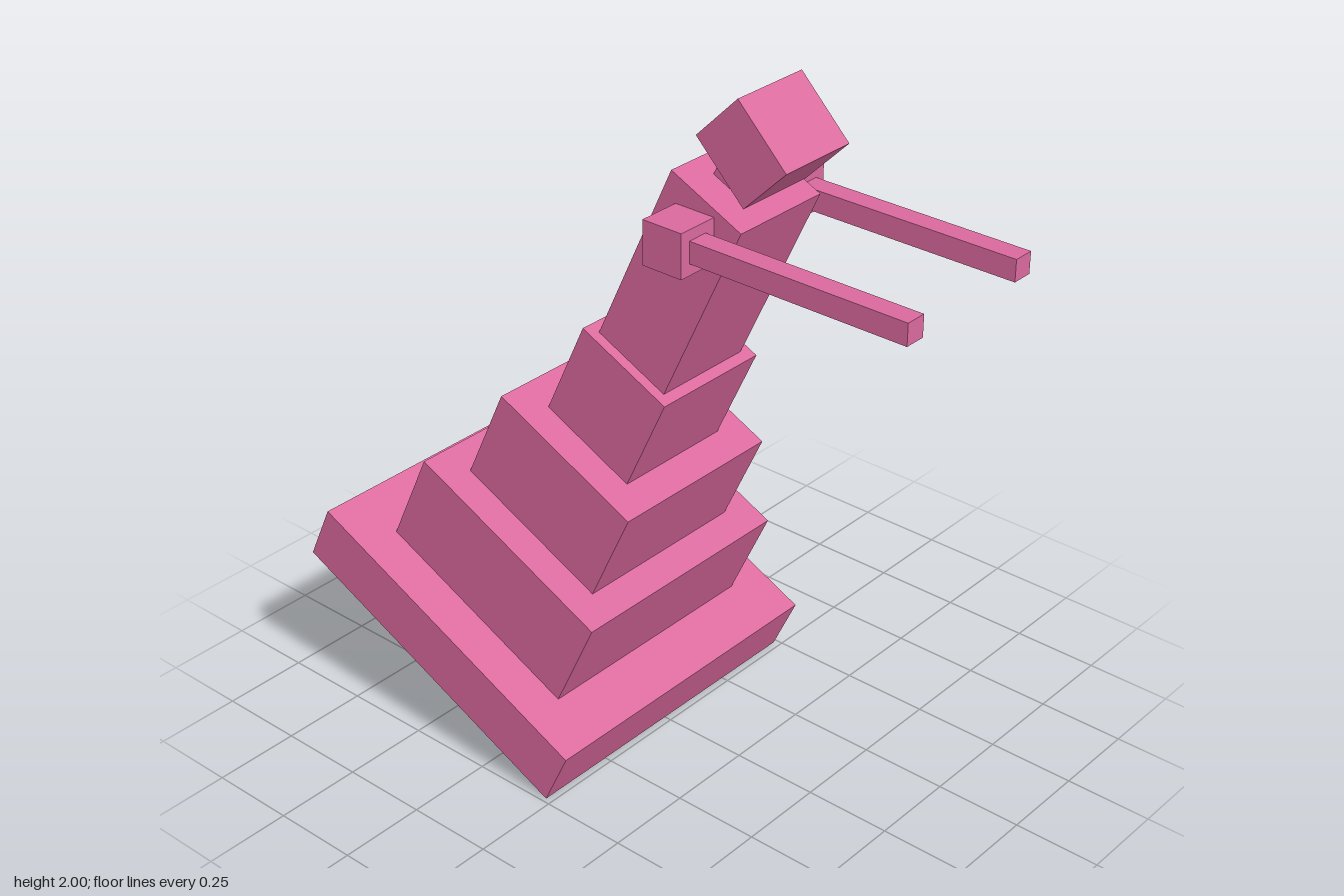
import * as THREE from 'three';

const pink = new THREE.MeshStandardMaterial({ color: 0xd9689c });
pink.name = 'pink';

function addBox(parent, name, [w, h, d], [x, y, z]) {
  const mesh = new THREE.Mesh(new THREE.BoxGeometry(w, h, d), pink);
  mesh.name = name;
  mesh.position.set(x, y, z);
  parent.add(mesh);
  return mesh;
}

export function createModel() {
  const model = new THREE.Group();
  model.name = 'steppedFigure';

  // Stepped body, leaning forward as one piece
  const body = new THREE.Group();
  body.name = 'leaningBody';
  body.position.set(0, 0.207, -0.465);
  body.rotation.x = THREE.MathUtils.degToRad(25);
  model.add(body);

  // name, width, depth, bottom, top along the leaning axis
  const tiers = [
    ['base', 0.975, 0.98, 0, 0.183],
    ['lowerSkirt', 0.73, 0.67, 0.183, 0.487],
    ['middleSkirt', 0.545, 0.49, 0.487, 0.793],
    ['upperSkirt', 0.365, 0.305, 0.793, 1.1],
    ['torso', 0.305, 0.242, 1.1, 1.678],
    ['neck', 0.12, 0.12, 1.678, 1.83],
  ];
  for (const [name, w, d, y0, y1] of tiers) {
    addBox(body, name, [w, y1 - y0, d], [0, (y0 + y1) / 2, 0]);
  }

  // Head, tipped further forward
  const head = addBox(model, 'head', [0.24, 0.18, 0.211], [0, 1.862, 0.322]);
  head.rotation.x = Math.PI / 4;

  // Shoulders and straight arms reaching forward
  for (const [side, s] of [['left', 1], ['right', -1]]) {
    addBox(model, side + 'Shoulder', [0.122, 0.122, 0.122], [s * 0.212, 1.634, 0.209]);
    addBox(model, side + 'Arm', [0.06, 0.06, 0.645], [s * 0.213, 1.635, 0.5885]);
  }

  return model;
}
